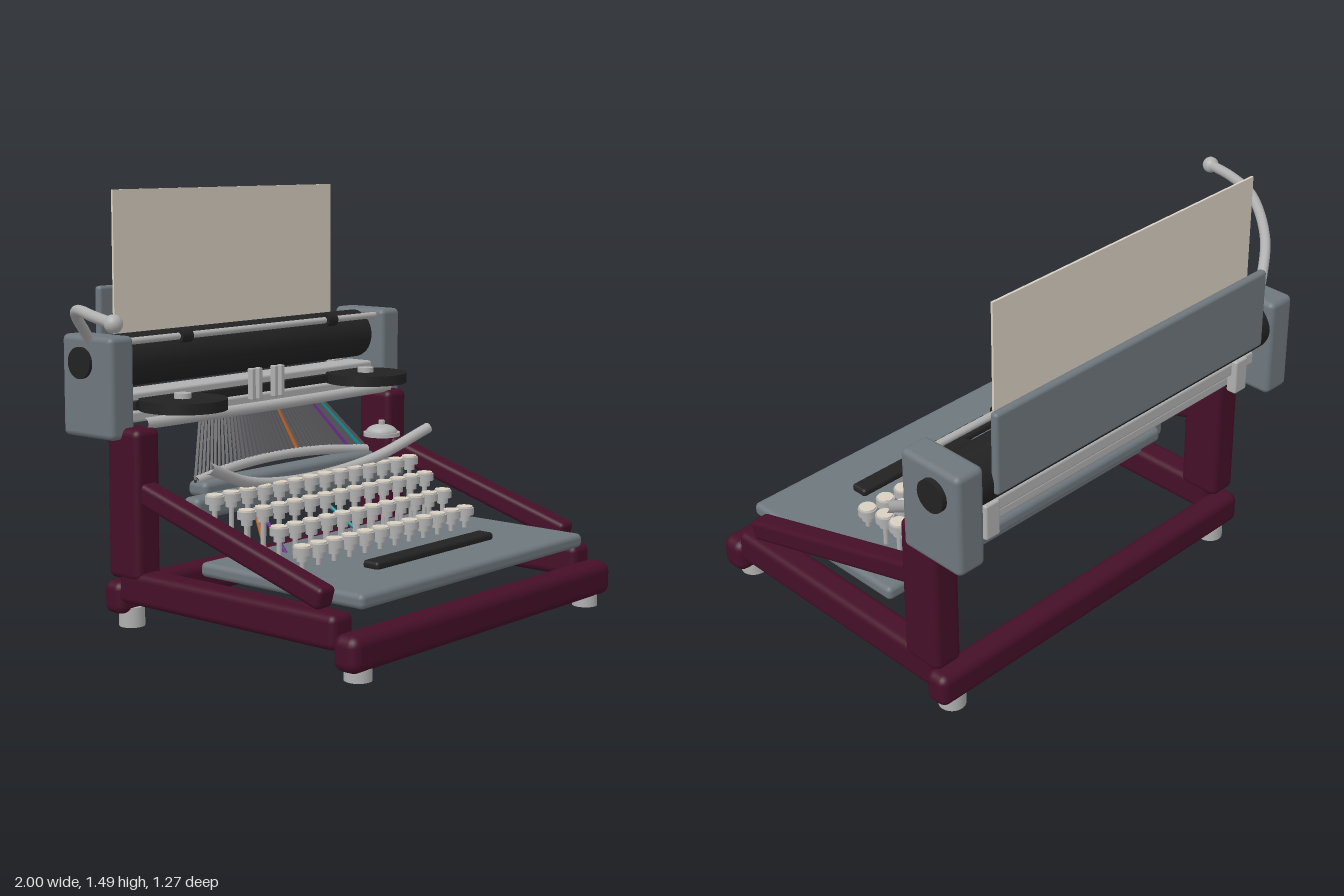
import * as THREE from 'three';
import { RoundedBoxGeometry } from 'three/addons/geometries/RoundedBoxGeometry.js';

const mat = (name, color) => {
  const m = new THREE.MeshStandardMaterial({ color });
  m.name = name;
  return m;
};
const V = (x, y, z) => new THREE.Vector3(x, y, z);
const CX = 0.21; // centre line of the machine body

export function createModel() {
  const maroon = mat('maroon enamel', 0x450f28);
  const slate = mat('slate paint', 0x6e777d);
  const steel = mat('steel', 0xb0b0b0);
  const black = mat('black rubber', 0x222222);
  const cream = mat('cream', 0xd8d0c2);
  const dark = mat('dark steel', 0x58585c);
  const teal = mat('teal', 0x108f98);
  const orange = mat('orange', 0xb0602c);
  const purple = mat('purple', 0x6c2c8c);

  const model = new THREE.Group();
  model.name = 'typewriter';
  const add = (name, geometry, material, x = 0, y = 0, z = 0) => {
    const mesh = new THREE.Mesh(geometry, material);
    mesh.name = name;
    mesh.position.set(x, y, z);
    model.add(mesh);
    return mesh;
  };
  // Rounded box given by its limits on each axis
  const box = (name, material, [x0, x1], [y0, y1], [z0, z1], r = 0.01) =>
    add(name, new RoundedBoxGeometry(x1 - x0, y1 - y0, z1 - z0, 3, r), material,
      (x0 + x1) / 2, (y0 + y1) / 2, (z0 + z1) / 2);
  // Upright cylinder standing on y0
  const disc = (name, material, r, x, y0, y1, z, sides = 24) =>
    add(name, new THREE.CylinderGeometry(r, r, y1 - y0, sides), material, x, (y0 + y1) / 2, z);
  // Cylinder lying along x
  const roller = (name, material, r, x0, x1, y, z) => {
    const m = add(name, new THREE.CylinderGeometry(r, r, x1 - x0, 32), material, (x0 + x1) / 2, y, z);
    m.rotation.z = Math.PI / 2;
    return m;
  };
  const rod = (name, material, r, a, b) => {
    const m = add(name, new THREE.CylinderGeometry(r, r, a.distanceTo(b), 8), material);
    m.position.copy(a).lerp(b, 0.5);
    m.quaternion.setFromUnitVectors(V(0, 1, 0), b.clone().sub(a).normalize());
    return m;
  };
  const tube = (name, material, r, points) =>
    add(name, new THREE.TubeGeometry(new THREE.CatmullRomCurve3(points), 40, r, 12), material);

  // Frame
  box('frontBeam', maroon, [-0.51, 0.935], [0.035, 0.155], [0.533, 0.636], 0.035);
  box('backBeam', maroon, [-0.51, 0.935], [0.05, 0.165], [-0.495, -0.405], 0.03);
  for (const s of [-1, 1]) {
    const cx = CX + s * 0.667;
    const span = (w) => [cx - w / 2, cx + w / 2];
    box('sideRail', maroon, span(0.1), [0.095, 0.21], [-0.42, 0.547], 0.025);
    box('rearPost', maroon, span(0.11), [0.18, 0.7], [-0.465, -0.31], 0.025);
    const brace = add('diagonalBrace', new RoundedBoxGeometry(0.075, 0.075, 0.85, 3, 0.018), maroon, cx, 0.365, 0.07);
    brace.rotation.x = Math.atan2(0.23, 0.78);
    for (const z of [0.578, -0.437]) disc('foot', steel, 0.045, CX + s * 0.637, 0, 0.07, z);
  }

  // Keyboard deck and space bar
  box('deck', slate, [-0.41, 0.825], [0.215, 0.265], [-0.125, 0.58], 0.018);
  box('spaceBar', black, [-0.11, 0.535], [0.26, 0.29], [0.33, 0.397], 0.012);
  box('spaceBarMount', slate, [0.01, 0.41], [0.155, 0.22], [0.33, 0.4], 0.005);

  // Keys: z, cap height, first x, last x, count
  const rows = [
    [0.195, 0.33, -0.255, 0.635, 12],
    [0.075, 0.375, -0.235, 0.66, 12],
    [-0.04, 0.42, -0.27, 0.7, 13],
    [-0.145, 0.465, -0.315, 0.74, 14],
  ];
  for (const [z, y, x0, x1, n] of rows) {
    for (let i = 0; i < n; i++) {
      const x = x0 + ((x1 - x0) * i) / (n - 1);
      disc('keyStem', steel, 0.009, x, y - 0.168, y - 0.01, z, 8);
      disc('keyCollar', steel, 0.02, x, y - 0.04, y - 0.018, z, 12);
      disc('keyRing', steel, 0.033, x, y - 0.018, y + 0.008, z, 20);
      disc('keyTop', cream, 0.028, x, y + 0.006, y + 0.014, z, 20);
    }
  }

  // Coloured key links
  rod('orangeLink', orange, 0.007, V(-0.25, 0.21, 0.06), V(-0.03, 0.41, -0.24));
  rod('purpleLink', purple, 0.007, V(-0.17, 0.16, 0.15), V(-0.02, 0.41, -0.24));
  rod('tealLink', teal, 0.007, V(0.32, 0.16, 0.15), V(0.27, 0.41, -0.24));

  // Type basket
  box('keyLeverBar', slate, [-0.35, 0.775], [0.385, 0.46], [-0.265, -0.19], 0.02);
  box('segmentBody', slate, [-0.25, 0.67], [0.44, 0.495], [-0.34, -0.25], 0.02);
  const pivot = (u) => V(CX + 0.46 * u, 0.525 - 0.03 * u * u, -0.33 + 0.03 * u * u);
  tube('segmentArc', steel, 0.018, [-1, -0.5, 0, 0.5, 1].map(pivot));
  tube('frontGuard', steel, 0.02, [V(-0.38, 0.58, -0.11), V(-0.12, 0.49, -0.16),
    V(CX, 0.46, -0.18), V(0.54, 0.49, -0.16), V(0.81, 0.58, -0.11)]);
  const bars = 42;
  const painted = { 25: orange, 37: purple, 40: teal };
  for (let i = 0; i < bars; i++) {
    const u = -1 + (2 * i) / (bars - 1);
    const a = pivot(u), b = V(CX + 0.31 * u, 0.705, -0.42);
    const m = add('typeBar', new THREE.BoxGeometry(0.009, 0.022, a.distanceTo(b)), painted[i] || dark);
    m.position.copy(a).lerp(b, 0.5);
    m.lookAt(b);
  }

  // Bell
  disc('bellBase', steel, 0.07, 0.74, 0.54, 0.555, -0.28);
  const dome = add('bellDome', new THREE.SphereGeometry(0.06, 24, 8, 0, Math.PI * 2, 0, Math.PI / 2), steel, 0.74, 0.555, -0.28);
  dome.scale.y = 0.5;
  disc('bellKnob', steel, 0.012, 0.74, 0.58, 0.6, -0.28, 12);

  // Ribbon spools and ribbon
  for (const x of [-0.28, 0.7]) {
    disc('ribbonSpool', black, 0.153, x, 0.747, 0.785, -0.325, 40);
    disc('spoolHub', steel, 0.03, x, 0.78, 0.803, -0.328);
  }
  box('ribbon', black, [-0.43, 0.85], [0.75, 0.782], [-0.425, -0.405], 0.004);
  for (const x of [0.135, 0.17, 0.255, 0.29]) box('typeGuide', steel, [x - 0.01, x + 0.01], [0.73, 0.845], [-0.405, -0.38], 0.004);

  // Carriage
  tube('frontRail', steel, 0.02, [V(-0.44, 0.712, -0.35), V(CX, 0.712, -0.335), V(0.86, 0.712, -0.35)]);
  box('rearRail', steel, [-0.46, 0.88], [0.755, 0.805], [-0.56, -0.44]);
  box('lowerRail', steel, [-0.46, 0.88], [0.695, 0.735], [-0.53, -0.47]);
  for (const x of [-0.37, 0.79]) box('railClip', steel, [x - 0.03, x + 0.03], [0.69, 0.815], [-0.58, -0.54], 0.008);
  for (const s of [-1, 1]) {
    const c = CX + s * 0.713;
    box('carriageEnd', slate, [c - 0.054, c + 0.054], [0.66, 1.008], [-0.63, -0.383], 0.02);
  }
  roller('platen', black, 0.092, -0.46, 0.88, 0.908, -0.53);
  roller('platenKnob', black, 0.054, -0.57, 0.995, 0.915, -0.53);
  roller('paperBail', steel, 0.012, -0.46, 0.88, 0.985, -0.425);
  for (const x of [-0.175, 0.6]) roller('bailRoller', black, 0.024, x - 0.026, x + 0.026, 0.985, -0.425);

  // Paper and its support
  box('paperTable', slate, [-0.4, 0.825], [0.88, 1.16], [-0.635, -0.605], 0.012);
  add('paper', new THREE.BoxGeometry(1.145, 0.55, 0.008), cream, 0.2125, 1.215, -0.581);

  // Carriage return lever
  tube('returnLever', steel, 0.018, [V(-0.52, 0.96, -0.51), V(-0.58, 1.02, -0.48), V(-0.69, 1.085, -0.4),
    V(-0.85, 1.13, -0.21), V(-0.93, 1.125, -0.05), V(-0.972, 1.115, 0.08)]);
  add('leverBall', new THREE.SphereGeometry(0.029, 20, 14), steel, -0.972, 1.115, 0.08);

  return model;
}
